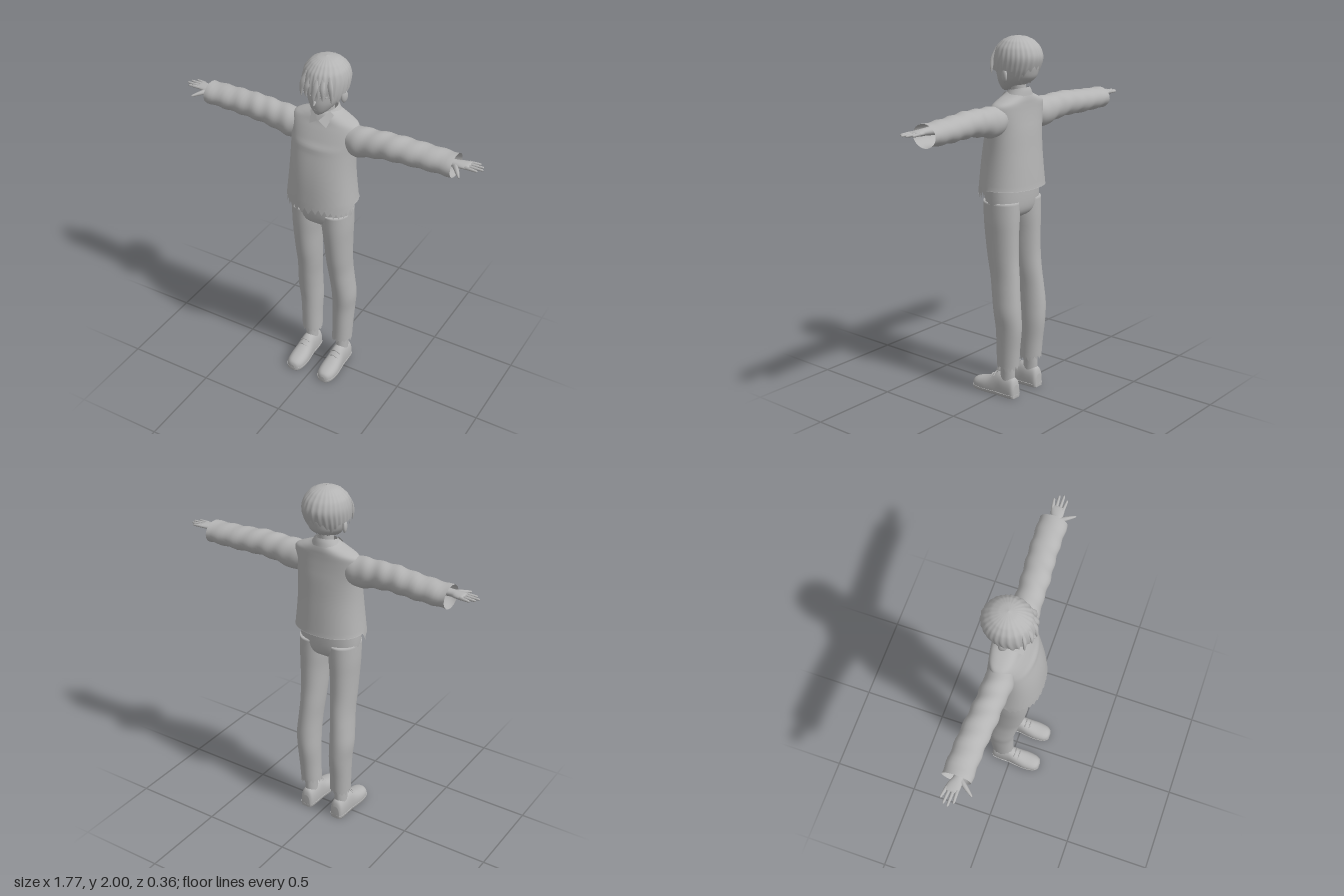
import * as THREE from 'three';

const clay = new THREE.MeshStandardMaterial({ color: 0xb4b4b4, side: THREE.DoubleSide });
clay.name = 'clay grey';

// Smooth surface, closed around theta; f(theta, t) returns [x, y, z]
function surface(nu, nv, f, capStart = false, capEnd = false) {
  const pos = [], idx = [];
  for (let j = 0; j <= nv; j++)
    for (let i = 0; i < nu; i++) pos.push(...f((i / nu) * Math.PI * 2, j / nv, i));
  for (let j = 0; j < nv; j++)
    for (let i = 0; i < nu; i++) {
      const a = j * nu + i, b = j * nu + (i + 1) % nu;
      idx.push(a, b, b + nu, a, b + nu, a + nu);
    }
  const cap = (j, flip) => {
    const c = [0, 0, 0];
    for (let i = 0; i < nu; i++) for (let k = 0; k < 3; k++) c[k] += pos[(j * nu + i) * 3 + k] / nu;
    const n = pos.length / 3;
    pos.push(...c);
    for (let i = 0; i < nu; i++) {
      const a = j * nu + i, b = j * nu + (i + 1) % nu;
      flip ? idx.push(n, b, a) : idx.push(n, a, b);
    }
  };
  if (capStart) cap(0, true);
  if (capEnd) cap(nv, false);
  const g = new THREE.BufferGeometry();
  g.setAttribute('position', new THREE.Float32BufferAttribute(pos, 3));
  g.setIndex(idx);
  g.computeVertexNormals();
  return g;
}

// Catmull-Rom value of a row table; t in row units
function rowAt(rows, s) {
  const n = rows.length - 1, i = Math.min(Math.floor(s), n - 1), u = s - i;
  const [a, b, c, d] = [-1, 0, 1, 2].map(k => rows[Math.max(0, Math.min(n, i + k))]);
  return b.map((_, k) => b[k] + 0.5 * u * (c[k] - a[k] + u * (2 * a[k] - 5 * b[k] + 4 * c[k] - d[k]
    + u * (3 * (b[k] - c[k]) + d[k] - a[k]))));
}

// Loft of rows [along, centreA, centreB, radiusA, radiusB]; (A, B) is (z,x) for y, (y,z) for x, (x,y) for z
function loft(axis, rows, { nu = 32, sub = 5, power = 2, start = true, end = true, tweak } = {}) {
  const e = 2 / power, sp = v => Math.sign(v) * Math.abs(v) ** e, n = rows.length - 1;
  return surface(nu, n * sub, (th, t, i) => {
    const [s, ca, cb, ra, rb] = rowAt(rows, t * n);
    const a = ca + ra * sp(Math.cos(th)), b = cb + rb * sp(Math.sin(th));
    const p = axis === 'y' ? [b, s, a] : axis === 'x' ? [s, a, b] : [a, b, s];
    if (tweak) tweak(p, th, t, i);
    return p;
  }, start, end);
}

// Tapered rod between two points
function rod(p, q, r0, r1) {
  const a = new THREE.Vector3(...p), d = new THREE.Vector3(...q).sub(a), L = d.length();
  const g = new THREE.LatheGeometry([[0, 0], [r0, 0.002], [(r0 + r1) / 2, L * 0.55], [r1, L * 0.9],
    [r1 * 0.6, L * 0.98], [0, L]].map(v => new THREE.Vector2(...v)), 10);
  g.applyQuaternion(new THREE.Quaternion().setFromUnitVectors(new THREE.Vector3(0, 1, 0), d.normalize()));
  return g.translate(a.x, a.y, a.z);
}

function tube(points, r) {
  return new THREE.TubeGeometry(new THREE.CatmullRomCurve3(points.map(p => new THREE.Vector3(...p))), 12, r, 6);
}

// Mirror across x, keeping the faces outward
function mirrored(g) {
  const m = g.clone().scale(-1, 1, 1), ix = m.index.array;
  for (let i = 0; i < ix.length; i += 3) [ix[i], ix[i + 1]] = [ix[i + 1], ix[i]];
  m.computeVertexNormals();
  return m;
}

export function createModel() {
  const model = new THREE.Group();
  const add = (name, g) => {
    const m = new THREE.Mesh(g, clay);
    m.name = name;
    model.add(m);
  };
  const pair = (name, g) => { add('left ' + name, g); add('right ' + name, mirrored(g)); };
  const ragged = i => (i % 2 ? 1 : -1) * (0.6 + 0.4 * Math.sin(i * 2.7));

  // Shirt body with a ragged front hem and a straight back hem
  add('shirt', loft('y', [
    [1.175, -0.002, 0, 0.157, 0.2], [1.3, -0.002, 0, 0.147, 0.187], [1.4, -0.005, 0, 0.135, 0.181],
    [1.5, -0.013, 0, 0.119, 0.182], [1.56, -0.021, 0, 0.104, 0.19], [1.61, -0.03, 0, 0.09, 0.194],
    [1.645, -0.038, 0, 0.08, 0.184], [1.668, -0.042, 0, 0.075, 0.14], [1.69, -0.045, 0, 0.068, 0.085],
    [1.705, -0.047, 0, 0.06, 0.06]], {
    nu: 72, power: 2.25, start: false, end: false,
    tweak: (p, th, t, i) => {
      if (t === 0) p[1] = p[2] > 0 ? 1.16 + 0.028 * ragged(i) : 1.19;
      // chest fold
      if (p[2] > 0) p[2] += 0.006 * Math.exp(-(((p[1] - 1.525) / 0.02) ** 2)) * Math.max(0, 1 - Math.abs(p[0]) / 0.16);
    } }));

  // Collar band and pointed flaps
  add('collar band', loft('y', [[1.675, -0.043, 0, 0.074, 0.086], [1.7, -0.045, 0, 0.068, 0.07],
    [1.72, -0.047, 0, 0.06, 0.058]], { start: false, end: false, tweak: p => { p[1] -= 0.22 * (p[2] + 0.05); } }));
  const flap = new THREE.BufferGeometry();
  flap.setAttribute('position', new THREE.Float32BufferAttribute(
    [0.004, 1.668, 0.052, 0.05, 1.638, 0.052, 0.068, 1.695, 0.005, 0.045, 1.712, 0.003], 3));
  flap.setIndex([0, 1, 2, 0, 2, 3]);
  flap.computeVertexNormals();
  pair('collar flap', flap);

  // Sleeves with soft wrinkles and open cuffs
  pair('sleeve', loft('x', [
    [0.14, 1.572, -0.028, 0.07, 0.065], [0.2, 1.565, -0.026, 0.083, 0.077], [0.3, 1.576, -0.03, 0.074, 0.073],
    [0.4, 1.584, -0.034, 0.069, 0.076], [0.55, 1.58, -0.046, 0.064, 0.076], [0.735, 1.578, -0.051, 0.058, 0.077]], {
    sub: 8, start: false, end: false,
    tweak: (p, th, t) => {
      const w = 0.003 * Math.sin(p[0] * 62 + 2 * Math.sin(th)) * Math.min(1, t * 3);
      p[1] += w * Math.cos(th);
      p[2] += w * Math.sin(th);
    } }));

  // Hands
  pair('palm', loft('x', [[0.66, 1.595, -0.04, 0.023, 0.03], [0.73, 1.597, -0.04, 0.018, 0.026],
    [0.765, 1.598, -0.045, 0.016, 0.034], [0.8, 1.6, -0.05, 0.012, 0.037], [0.812, 1.6, -0.05, 0.007, 0.033]], { nu: 20 }));
  [[-0.077, -0.088, 0.853], [-0.06, -0.066, 0.877], [-0.041, -0.042, 0.885], [-0.023, -0.018, 0.862]]
    .forEach(([z0, z1, x], i) => pair('finger ' + (i + 1), rod([0.792, 1.6, z0], [x, 1.601, z1], 0.0095, 0.006)));
  pair('thumb', rod([0.742, 1.594, -0.022], [0.797, 1.582, 0.052], 0.015, 0.006));

  // Trousers: hips and two legs with ragged cuffs
  add('trouser hips', loft('y', [[1.025, -0.004, 0, 0.06, 0.09], [1.05, -0.004, 0, 0.092, 0.155],
    [1.1, -0.003, 0, 0.109, 0.174], [1.21, -0.002, 0, 0.112, 0.174]], { power: 2.3 }));
  pair('trouser leg', loft('y', [
    [0.175, -0.054, 0.1, 0.065, 0.056], [0.28, -0.058, 0.103, 0.069, 0.057], [0.4, -0.063, 0.105, 0.077, 0.061],
    [0.5, -0.057, 0.11, 0.082, 0.065], [0.6, -0.045, 0.106, 0.085, 0.063], [0.7, -0.032, 0.099, 0.088, 0.064],
    [0.8, -0.018, 0.097, 0.093, 0.068], [0.92, -0.009, 0.096, 0.1, 0.073], [1.02, -0.005, 0.093, 0.105, 0.081],
    [1.12, -0.003, 0.09, 0.106, 0.084]], {
    start: false, power: 2.1,
    tweak: (p, th, t, i) => { if (t === 0) p[1] += 0.018 * ragged(i); } }));

  // Ankles and shoes
  pair('ankle', loft('y', [[0.07, -0.05, 0.102, 0.045, 0.036], [0.14, -0.053, 0.102, 0.044, 0.034],
    [0.23, -0.055, 0.102, 0.04, 0.034]], { nu: 20 }));
  const shoeRows = [[-0.115, 0.025, 0.075], [-0.1, 0.038, 0.112], [-0.05, 0.043, 0.128], [0, 0.044, 0.13],
    [0.05, 0.05, 0.1], [0.1, 0.054, 0.08], [0.15, 0.048, 0.066], [0.175, 0.033, 0.053], [0.184, 0.014, 0.035]];
  const shoe = (grow, top) => loft('z', shoeRows.map(([z, r, h]) => [z, 0.102, h * 0.35, r + grow, h * 0.65]), {
    power: 2.3, tweak: p => { p[1] = Math.min(top, Math.max(0, p[1])); } });
  pair('shoe', shoe(0, 1));
  pair('shoe sole', shoe(0.003, 0.02));
  [[0.025, 0.122], [0.05, 0.104]].forEach(([z, y], i) =>
    pair('shoelace ' + (i + 1), tube([[0.072, y - 0.018, z], [0.102, y, z + 0.004], [0.132, y - 0.018, z]], 0.004)));

  // Neck, head and face
  add('neck', loft('y', [[1.62, -0.05, 0, 0.048, 0.05], [1.7, -0.046, 0, 0.04, 0.039], [1.79, -0.04, 0, 0.045, 0.042]], { nu: 24 }));
  add('head', loft('y', [
    [1.703, 0.042, 0, 0.012, 0.01], [1.714, 0.03, 0, 0.034, 0.028], [1.738, 0.002, 0, 0.073, 0.055],
    [1.775, -0.028, 0, 0.11, 0.082], [1.82, -0.04, 0, 0.12, 0.096], [1.87, -0.042, 0, 0.124, 0.1],
    [1.93, -0.042, 0, 0.105, 0.09], [1.97, -0.042, 0, 0.05, 0.045]], { nu: 40 }));
  add('nose', rod([0, 1.795, 0.072], [0, 1.772, 0.094], 0.009, 0.004));
  add('mouth', tube([[-0.014, 1.743, 0.07], [0, 1.742, 0.076], [0.014, 1.743, 0.07]], 0.0015));
  pair('eyelid', tube([[0.022, 1.817, 0.078], [0.042, 1.823, 0.07], [0.064, 1.814, 0.051]], 0.003));
  pair('ear', new THREE.SphereGeometry(1, 16, 12).scale(0.012, 0.034, 0.022).rotateY(-0.35).translate(0.106, 1.797, -0.035));

  // Hair shell: uneven hem, strands gathered at the crown; rows [y, centreZ, radiusZ, radiusX]
  const hairRows = [[1.74, -0.02, 0.08, 0.075], [1.78, -0.022, 0.112, 0.104], [1.83, -0.032, 0.132, 0.121],
    [1.89, -0.043, 0.138, 0.126], [1.94, -0.043, 0.12, 0.113], [1.975, -0.043, 0.084, 0.083],
    [1.992, -0.042, 0.046, 0.047], [2, -0.04, 0.001, 0.001]];
  const hairAt = y => {
    let i = 0;
    while (i < hairRows.length - 2 && y > hairRows[i + 1][0]) i++;
    return rowAt(hairRows, i + (y - hairRows[i][0]) / (hairRows[i + 1][0] - hairRows[i][0]));
  };
  const hemAt = th => {
    const a = Math.abs(th > Math.PI ? th - 2 * Math.PI : th);
    const tooth = Math.abs(((a * 4.2 + 0.5) % 1) * 2 - 1);
    if (a < 1.0) return 1.805 + 0.05 * tooth;
    if (a < 1.3) return 1.775 + 0.05 * tooth;
    if (a < 1.85) return 1.825;
    return 1.825 - 0.078 * Math.min(1, (a - 1.85) / 0.75) + 0.015 * tooth;
  };
  add('hair', surface(120, 26, (th, t) => {
    const hem = hemAt(th), y = hem + (2 - hem) * Math.sin(t * Math.PI / 2);
    const [, zc, rz, rx] = hairAt(y);
    const k = 1 - 0.045 * Math.abs(Math.sin(th * 13 + 0.8 * Math.sin(th * 3))) * (1 - t * 0.5);
    return [rx * k * Math.sin(th), y, zc + rz * k * Math.cos(th)];
  }));

  // Loose fringe locks over the forehead
  [[-0.075, -0.085, 1.8], [-0.035, -0.045, 1.815], [0.012, 0.004, 1.795], [0.045, 0.05, 1.815], [0.08, 0.088, 1.8]]
    .forEach(([x0, x1, y], i) => {
      const front = x => 0.1 - 4.5 * x * x;
      add('fringe lock ' + (i + 1), loft('y', [
        [y, front(x1) + 0.002, x1, 0.002, 0.002], [y + 0.035, front(x1) + 0.002, x1, 0.007, 0.01],
        [1.885, front(x0) - 0.008, x0, 0.009, 0.016], [1.94, front(x0 * 0.8) - 0.036, x0 * 0.8, 0.007, 0.01]],
        { nu: 10 }));
    });
  return model;
}
